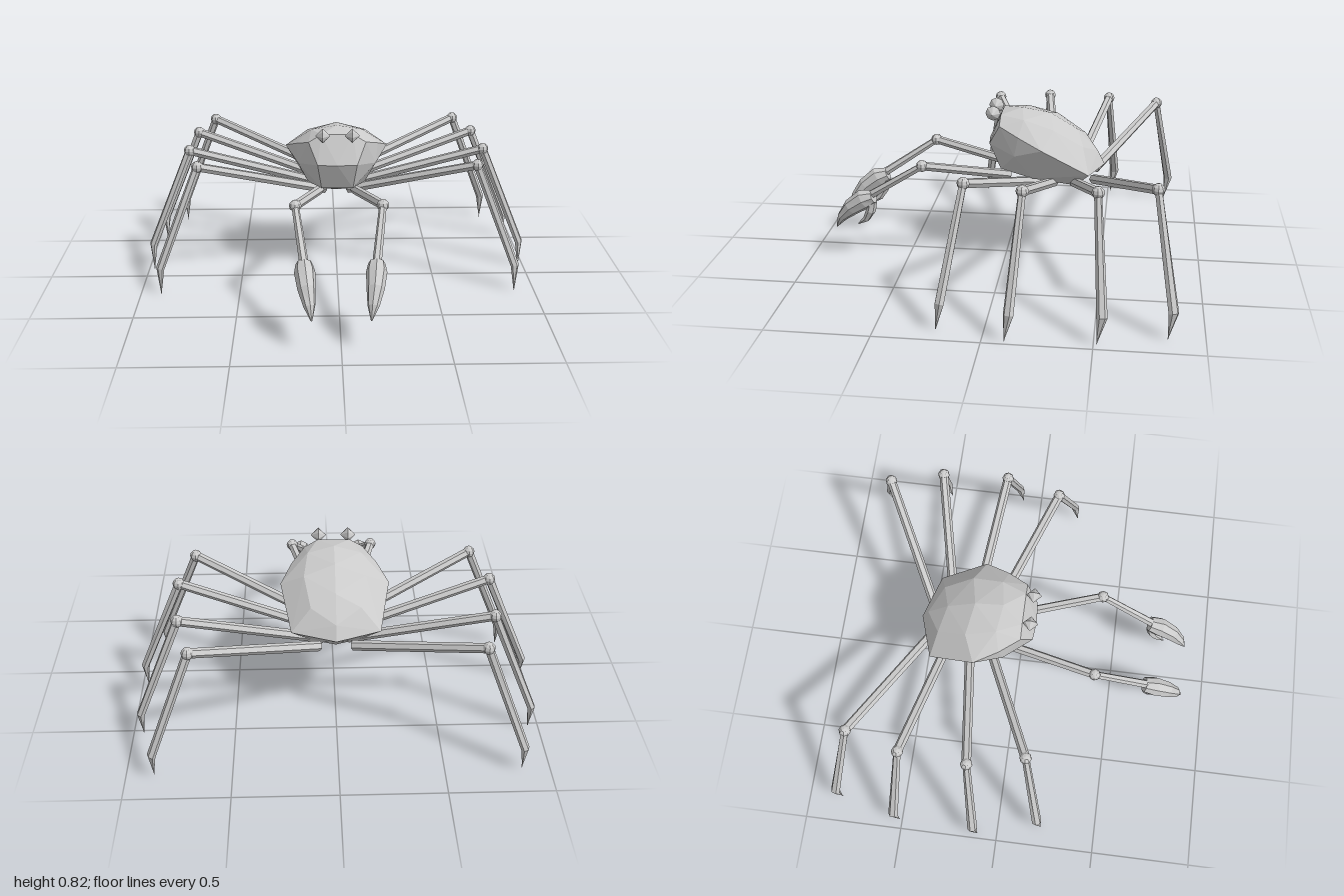
import * as THREE from 'three';
import { ConvexGeometry } from 'three/addons/geometries/ConvexGeometry.js';

const material = new THREE.MeshStandardMaterial({ color: 0xcccccc, flatShading: true });
const V = (x, y, z) => new THREE.Vector3(x, y, z);

function part(name, geometry, parent) {
  const mesh = new THREE.Mesh(geometry, material);
  mesh.name = name;
  parent.add(mesh);
  return mesh;
}

// Closed tube through stations [x, y, z, half width, half height]
function loft(stations, sides = 6) {
  const centres = stations.map(s => V(s[0], s[1], s[2]));
  const pos = [], index = [], last = stations.length - 1;
  stations.forEach((s, i) => {
    const t = centres[Math.min(i + 1, last)].clone().sub(centres[Math.max(i - 1, 0)]).normalize();
    const side = V(0, 1, 0).cross(t).normalize();
    const up = t.clone().cross(side);
    for (let k = 0; k < sides; k++) {
      const a = (k / sides) * Math.PI * 2;
      const p = centres[i].clone()
        .addScaledVector(side, Math.cos(a) * s[3])
        .addScaledVector(up, Math.sin(a) * s[4]);
      pos.push(p.x, p.y, p.z);
      if (i < last) {
        const n = (k + 1) % sides, b = i * sides;
        index.push(b + k, b + n, b + sides + n, b + k, b + sides + n, b + sides + k);
      }
    }
  });
  for (let k = 1; k < sides - 1; k++) {
    index.push(0, k + 1, k, last * sides, last * sides + k, last * sides + k + 1);
  }
  const g = new THREE.BufferGeometry();
  g.setAttribute('position', new THREE.Float32BufferAttribute(pos, 3));
  g.setIndex(index);
  g.computeVertexNormals();
  return g;
}

function joint(name, p, r, parent) {
  part(name, new THREE.SphereGeometry(r, 8, 6), parent).position.set(...p);
}

// Faceted shell, tilted down toward the back
function buildBody(parent) {
  const half = [
    [0, 0.795, -0.08], [0, 0.772, -0.22], [0, 0.69, -0.36], [0, 0.58, -0.465], [0, 0.51, -0.5],
    [0.08, 0.775, 0.02], [0.13, 0.768, -0.1], [0.15, 0.725, -0.25], [0.12, 0.635, -0.395],
    [0.145, 0.735, 0.02], [0.21, 0.7, -0.08], [0.265, 0.655, -0.2], [0.215, 0.52, -0.43],
    [0.1, 0.63, 0.075], [0, 0.63, 0.085], [0.2, 0.6, -0.06],
    [0.08, 0.49, 0.02], [0.15, 0.47, -0.15], [0.1, 0.425, -0.36], [0, 0.4, -0.36], [0, 0.435, -0.12]
  ];
  const points = [];
  for (const [x, y, z] of half) {
    points.push(V(x, y, z));
    if (x) points.push(V(-x, y, z));
  }
  part('body', new ConvexGeometry(points), parent);
}

// hip, knee, ankle and foot tip of each walking leg on the left side
const legs = [
  { hip: [0.06, 0.425, -0.16], knee: [0.70, 0.64, 0.115], ankle: [0.9, 0.13, 0.2] },
  { hip: [0.06, 0.425, -0.25], knee: [0.765, 0.64, -0.16], ankle: [0.975, 0.13, -0.122] },
  { hip: [0.06, 0.43, -0.345], knee: [0.745, 0.64, -0.495], ankle: [0.953, 0.13, -0.535] },
  { hip: [0.08, 0.455, -0.45], knee: [0.675, 0.64, -0.76], ankle: [0.87, 0.13, -0.85] }
];

function buildLeg({ hip, knee, ankle }, parent) {
  const leg = new THREE.Group();
  leg.name = 'walkingLeg';
  part('upperLeg', loft([[...hip, 0.025, 0.025], [...knee, 0.023, 0.023]]), leg);
  joint('knee', knee, 0.03, leg);
  const [x, y, z] = ankle;
  part('lowerLeg', loft([
    [...knee, 0.018, 0.022], [x, y, z, 0.025, 0.02], [x - 0.002, 0, z + 0.02, 0.002, 0.002]
  ]), leg);
  parent.add(leg);
}

// Front arm with a two-fingered pincer
function buildArm(parent) {
  const arm = new THREE.Group();
  arm.name = 'pincerArm';
  const elbow = [0.21, 0.535, 0.4];
  part('upperArm', loft([[0.09, 0.465, -0.03, 0.024, 0.024], [...elbow, 0.022, 0.022]]), arm);
  joint('elbow', elbow, 0.03, arm);
  part('forearm', loft([[...elbow, 0.018, 0.018], [0.166, 0.345, 0.69, 0.022, 0.022]]), arm);
  part('upperFinger', loft([
    [0.168, 0.345, 0.664, 0.04, 0.035], [0.165, 0.325, 0.715, 0.049, 0.053],
    [0.157, 0.275, 0.785, 0.042, 0.045], [0.145, 0.215, 0.84, 0.028, 0.026],
    [0.135, 0.155, 0.873, 0.003, 0.003]
  ], 8), arm);
  part('lowerFinger', loft([
    [0.166, 0.315, 0.672, 0.034, 0.022], [0.164, 0.265, 0.682, 0.032, 0.024],
    [0.156, 0.215, 0.709, 0.022, 0.018], [0.146, 0.18, 0.755, 0.003, 0.003]
  ]), arm);
  parent.add(arm);
}

// Everything that comes in pairs, mirrored by moving the vertices
function buildSide(name, mirror, parent) {
  const side = new THREE.Group();
  side.name = name;
  legs.forEach(leg => buildLeg(leg, side));
  buildArm(side);
  const eye = part('eye', new THREE.SphereGeometry(0.038, 8, 2).rotateZ(Math.PI / 2), side);
  eye.position.set(0.074, 0.78, 0.06);
  if (mirror) side.scale.x = -1;
  parent.add(side);
}

export function createModel() {
  const model = new THREE.Group();
  model.name = 'crab';
  buildBody(model);
  buildSide('leftLimbs', false, model);
  buildSide('rightLimbs', true, model);
  return model;
}
